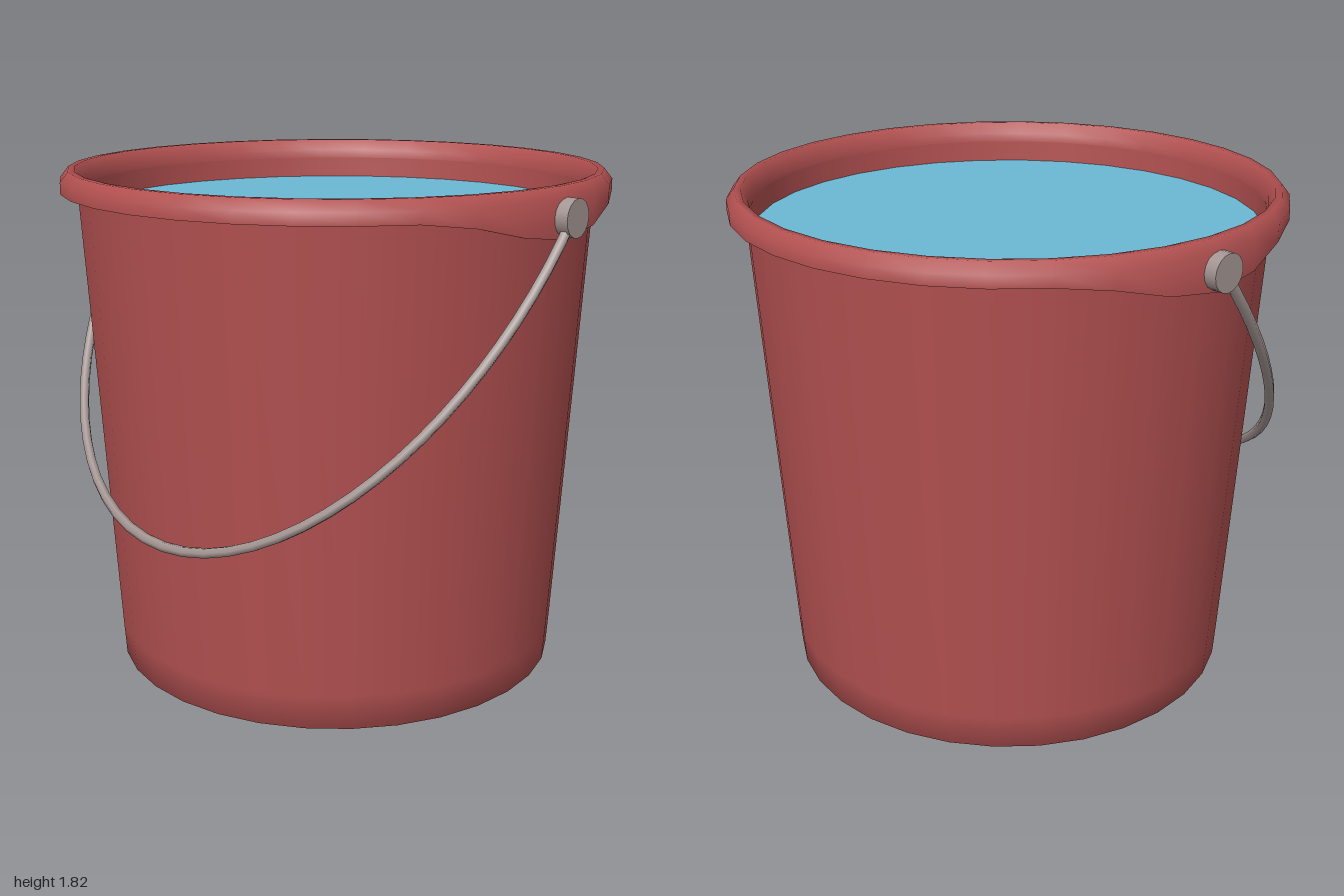
import * as THREE from 'three';

const SEGMENTS = 32;

function lathe(profile) {
  return new THREE.LatheGeometry(profile.map(([r, y]) => new THREE.Vector2(r, y)), SEGMENTS);
}

// Lowers the rim's bottom edge smoothly around the two handle pivots
function dropAtPivots(geometry, edgeY, depth) {
  const p = geometry.attributes.position;
  for (let i = 0; i < p.count; i++) {
    if (p.getY(i) > edgeY + 0.001) continue;
    const angle = Math.atan2(Math.abs(p.getZ(i)), Math.abs(p.getX(i)));
    const t = Math.min(angle / (Math.PI * 3 / 16), 1);
    p.setY(i, p.getY(i) - depth * 0.5 * (1 + Math.cos(Math.PI * t)));
  }
  return geometry;
}

export function createModel() {
  const group = new THREE.Group();
  const red = new THREE.MeshStandardMaterial({ color: 0xb25050 });
  const blue = new THREE.MeshStandardMaterial({ color: 0x6bb8d3 });
  const grey = new THREE.MeshStandardMaterial({ color: 0xa39592 });
  red.name = 'bucket red';
  blue.name = 'water blue';
  grey.name = 'handle grey';

  const add = (name, geometry, material) => {
    const mesh = new THREE.Mesh(geometry, material);
    mesh.name = name;
    group.add(mesh);
    return mesh;
  };

  // Bucket body: floor, chamfered foot and tapered outer wall
  add('outerWall', lathe([[0, 0], [0.7, 0], [0.73, 0.005], [0.8, 0.04], [0.808, 0.16], [0.902, 1.75]]), red);

  // Rim: outer skirt, rounded top and inner lip
  const EDGE = 1.74;
  add('rim', dropAtPivots(lathe([
    [0.96, EDGE], [0.96, 1.78], [0.932, 1.815], [0.91, 1.815], [0.888, 1.775], [0.884, 1.745],
  ]), EDGE, 0.09), red);
  add('rimUnderside', dropAtPivots(lathe([[0.893, EDGE], [0.96, EDGE]]), EDGE, 0.09), red);

  // Inner wall and floor
  add('innerWall', lathe([[0.884, 1.745], [0.88, 1.67], [0.78, 0.06], [0, 0.06]]), red);

  // Water surface
  const water = add('water', new THREE.CircleGeometry(0.881, SEGMENTS), blue);
  water.rotation.x = -Math.PI / 2;
  water.position.y = 1.67;

  // Handle wire: half ellipse hanging forward from the pivots
  const points = [];
  for (let i = 0; i <= 32; i++) {
    const a = (i / 32) * Math.PI;
    const s = Math.sin(a);
    points.push(new THREE.Vector3(0.98 * Math.cos(a), 1.72 - 1.09 * s, 0.865 * s));
  }
  add('handleWire', new THREE.TubeGeometry(new THREE.CatmullRomCurve3(points), 40, 0.018, 6), grey);

  // Handle pivots
  for (const side of [-1, 1]) {
    const pivot = add(side > 0 ? 'leftPivot' : 'rightPivot', new THREE.CylinderGeometry(0.063, 0.063, 0.045, 16), grey);
    pivot.rotation.z = Math.PI / 2;
    pivot.position.set(side * 0.9775, 1.72, 0);
  }

  return group;
}
